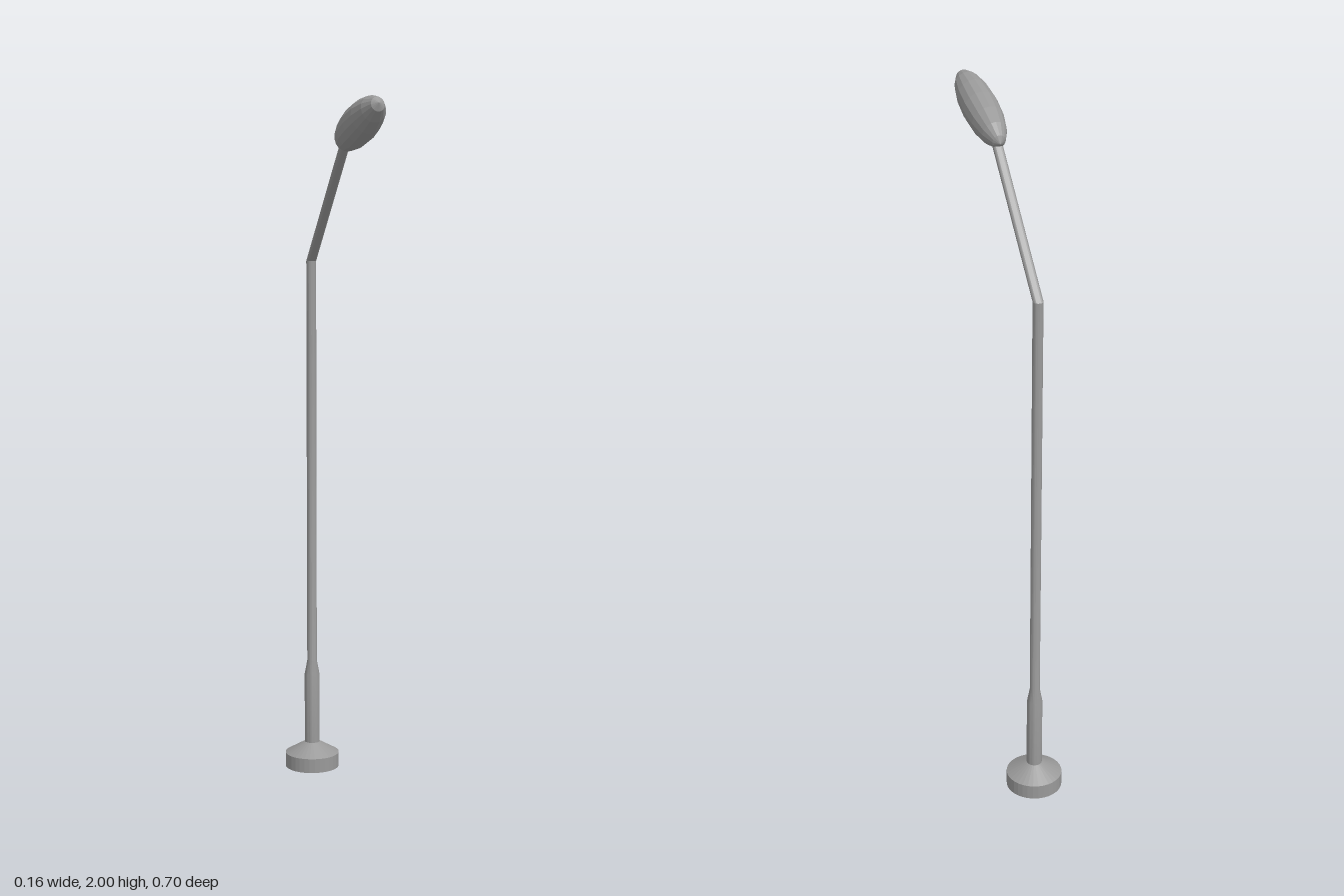
import * as THREE from 'three';
import { toCreasedNormals } from 'three/addons/utils/BufferGeometryUtils.js';

const POLE_Z = -0.267;
const POLE_R = 0.0145;
const POLE_TOP = 1.535;
const GREY = 0x999999;

export function createModel() {
  const group = new THREE.Group();
  const smooth = new THREE.MeshStandardMaterial({ color: GREY });
  const faceted = new THREE.MeshStandardMaterial({ color: GREY, flatShading: true });

  const add = (name, geometry, material, y, z) => {
    const mesh = new THREE.Mesh(geometry, material);
    mesh.name = name;
    mesh.position.set(0, y, z);
    group.add(mesh);
  };

  // Turned part from [radius, height] pairs, bottom to top
  const turned = (profile, sides) =>
    new THREE.LatheGeometry(profile.map(([r, y]) => new THREE.Vector2(r, y)), sides);

  // Foot: short drum with a sloping top
  add('base', turned([[0, 0], [0.081, 0], [0.081, 0.043], [0.023, 0.076], [0, 0.076]], 32),
    faceted, 0, POLE_Z);

  // Post: thick sleeve tapering into a slim pole
  const pole = turned([[0.0225, 0.07], [0.0225, 0.287], [POLE_R, 0.33], [POLE_R, POLE_TOP], [0, POLE_TOP]], 20);
  add('pole', toCreasedNormals(pole, 0.5), smooth, 0, POLE_Z);

  // Arm: the pole's round section swept forward, keeping its ends level
  const rise = 0.332;
  const arm = new THREE.CylinderGeometry(POLE_R, POLE_R, rise, 20);
  arm.translate(0, rise / 2, 0);
  const p = arm.attributes.position;
  for (let i = 0; i < p.count; i++) p.setZ(i, p.getZ(i) + p.getY(i) * 0.955);
  add('arm', toCreasedNormals(arm, 0.5), smooth, POLE_TOP, POLE_Z);

  // Lamp head: long faceted ellipsoid with its poles fore and aft, tilted up
  const head = new THREE.SphereGeometry(1, 16, 8);
  head.rotateX(Math.PI / 2);
  head.scale(0.05, 0.054, 0.171);
  head.rotateX(-0.318);
  add('lampHead', head, faceted, 1.927, 0.185);

  return group;
}
